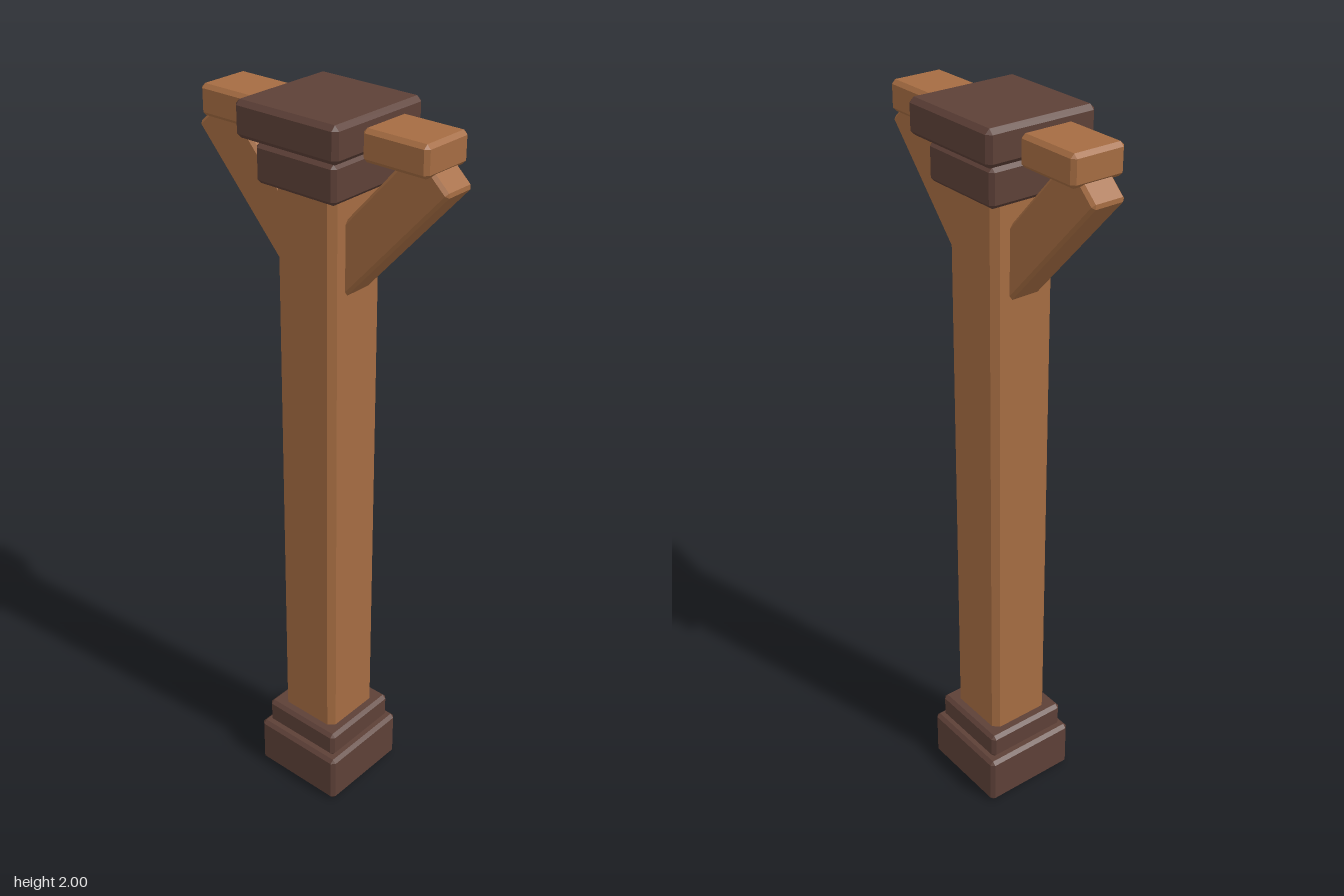
import * as THREE from 'three';
import { ConvexGeometry } from 'three/addons/geometries/ConvexGeometry.js';

// Box with every edge and corner cut at 45 degrees
function chamferBox(w, h, d, c) {
  const points = [];
  const [x, y, z] = [w / 2, h / 2, d / 2];
  for (const sx of [-1, 1]) for (const sy of [-1, 1]) for (const sz of [-1, 1]) {
    points.push(
      new THREE.Vector3(sx * x, sy * (y - c), sz * (z - c)),
      new THREE.Vector3(sx * (x - c), sy * y, sz * (z - c)),
      new THREE.Vector3(sx * (x - c), sy * (y - c), sz * z)
    );
  }
  return new ConvexGeometry(points);
}

export function createModel() {
  const group = new THREE.Group();
  const wood = new THREE.MeshStandardMaterial({ color: 0xa56c42 });
  wood.name = 'warm wood';
  const darkWood = new THREE.MeshStandardMaterial({ color: 0x5d4037 });
  darkWood.name = 'dark wood';

  function add(name, size, chamfer, material, x, y) {
    const mesh = new THREE.Mesh(chamferBox(...size, chamfer), material);
    mesh.name = name;
    mesh.position.set(x, y, 0);
    group.add(mesh);
    return mesh;
  }

  // Stepped foot, shaft and stepped head
  add('basePlinth', [0.28, 0.145, 0.28], 0.01, darkWood, 0, 0.0725);
  add('baseCollar', [0.245, 0.075, 0.245], 0.01, darkWood, 0, 0.1825);
  add('post', [0.185, 1.79, 0.185], 0.017, wood, 0, 1.025);
  add('capCollar', [0.245, 0.097, 0.245], 0.01, darkWood, 0, 1.8485);
  add('capBlock', [0.31, 0.09, 0.31], 0.012, darkWood, 0, 1.955);

  // Short beam stubs with slanted braces under them
  const angle = 0.833;
  for (const side of [-1, 1]) {
    const label = side > 0 ? 'left' : 'right';
    add(label + 'BeamStub', [0.185, 0.078, 0.15], 0.01, wood, side * 0.252, 1.942);
    const brace = add(label + 'Brace', [0.48, 0.13, 0.093], 0.008, wood, side * 0.175, 1.735);
    brace.rotation.z = side * angle;
  }
  return group;
}
